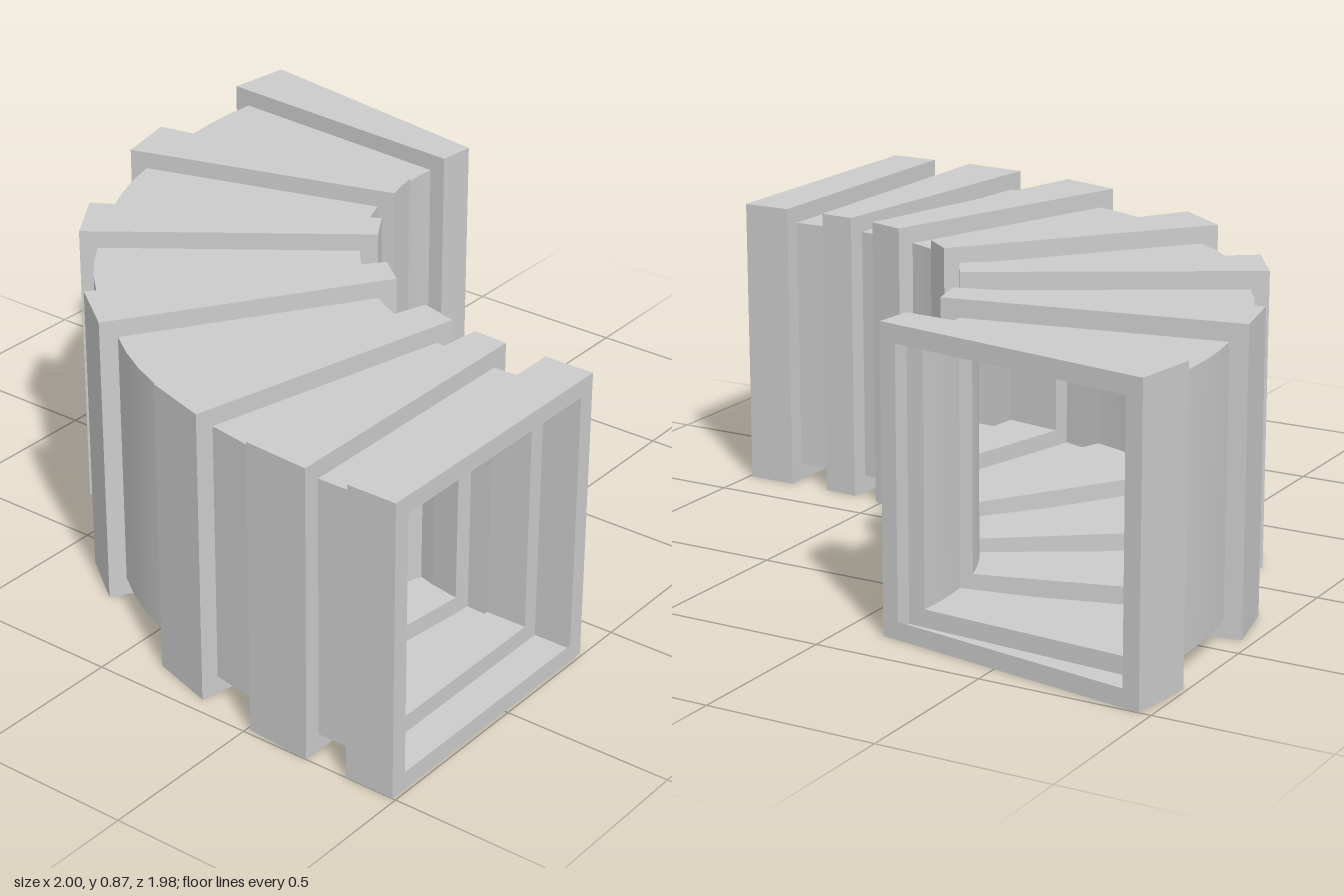
import * as THREE from 'three';
import { toCreasedNormals } from 'three/addons/utils/BufferGeometryUtils.js';

const HEIGHT = 0.87;
const STEP = 0.052; // how far the ribs stand proud of the duct

// Plan of each rib as [x, z]: start face outer/inner corner, end face outer/inner corner
const RIBS = [
  [[-1.0, 0.99], [-0.14, 0.99], [-1.0, 0.84], [-0.14, 0.84]],
  [[-1.0, 0.71], [-0.14, 0.713], [-0.985, 0.51], [-0.134, 0.607]],
  [[-0.952, 0.318], [-0.118, 0.521], [-0.893, 0.126], [-0.086, 0.409]],
  [[-0.717, -0.222], [-0.005, 0.249], [-0.599, -0.382], [0.064, 0.163]],
  [[-0.316, -0.655], [0.193, 0.035], [-0.15, -0.762], [0.289, -0.024]],
  [[0.214, -0.922], [0.449, -0.099], [0.406, -0.965], [0.561, -0.126]],
  [[0.802, -0.99], [0.743, -0.131], [1.0, -0.965], [0.856, -0.12]],
];
// Outward bow of the duct between neighbouring ribs
const BOWS = [0, 0, 0.018, 0.019, 0.017, 0.014];

// Rectangular cross-section standing on the line from outer to inner
function section(outer, inner, inset) {
  const o = new THREE.Vector2(...outer), i = new THREE.Vector2(...inner);
  const d = i.clone().sub(o).normalize().multiplyScalar(inset);
  o.add(d);
  i.sub(d);
  const y0 = inset, y1 = HEIGHT - inset;
  return [[o, y0], [i, y0], [i, y1], [o, y1]].map(([p, y]) => new THREE.Vector3(p.x, y, p.y));
}

// Open shell through a row of cross-sections
function loft(name, sections, material) {
  const points = [];
  for (let s = 0; s < sections.length - 1; s++) {
    for (let k = 0; k < 4; k++) {
      const n = (k + 1) % 4;
      const a = sections[s][k], b = sections[s][n];
      const c = sections[s + 1][n], d = sections[s + 1][k];
      points.push(a, d, c, a, c, b);
    }
  }
  const geometry = new THREE.BufferGeometry().setFromPoints(points);
  const mesh = new THREE.Mesh(toCreasedNormals(geometry, 0.35), material);
  mesh.name = name;
  return mesh;
}

// Sections from one rib to the next, bowed towards the outside of the bend
function ductSections(start, end, bow) {
  const steps = bow ? 4 : 1;
  const list = [];
  for (let s = 0; s <= steps; s++) {
    const t = s / steps;
    const ring = start.map((p, k) => p.clone().lerp(end[k], t));
    const outward = ring[0].clone().sub(ring[1]).normalize();
    const push = bow * 4 * t * (1 - t);
    ring.forEach((p, k) => p.addScaledVector(outward, k === 0 || k === 3 ? push : push * 0.35));
    list.push(ring);
  }
  return list;
}

export function createModel() {
  const group = new THREE.Group();
  group.name = 'curvedDuct';
  const material = new THREE.MeshStandardMaterial({ color: 0xcccccc, side: THREE.DoubleSide });

  RIBS.forEach(([so, si, eo, ei], r) => {
    // Rib: a raised channel, hollow towards the inside of the duct
    const endMouth = section(eo, ei, STEP);
    const isEnd = r === 0 || r === RIBS.length - 1;
    group.add(loft(isEnd ? 'endCollar' : 'rib', [
      section(so, si, STEP), section(so, si, 0), section(eo, ei, 0), endMouth,
    ], material));

    // Duct wall up to the next rib
    if (r < RIBS.length - 1) {
      const [no, ni] = RIBS[r + 1];
      group.add(loft('ductWall', ductSections(endMouth, section(no, ni, STEP), BOWS[r]), material));
    }
  });
  return group;
}
